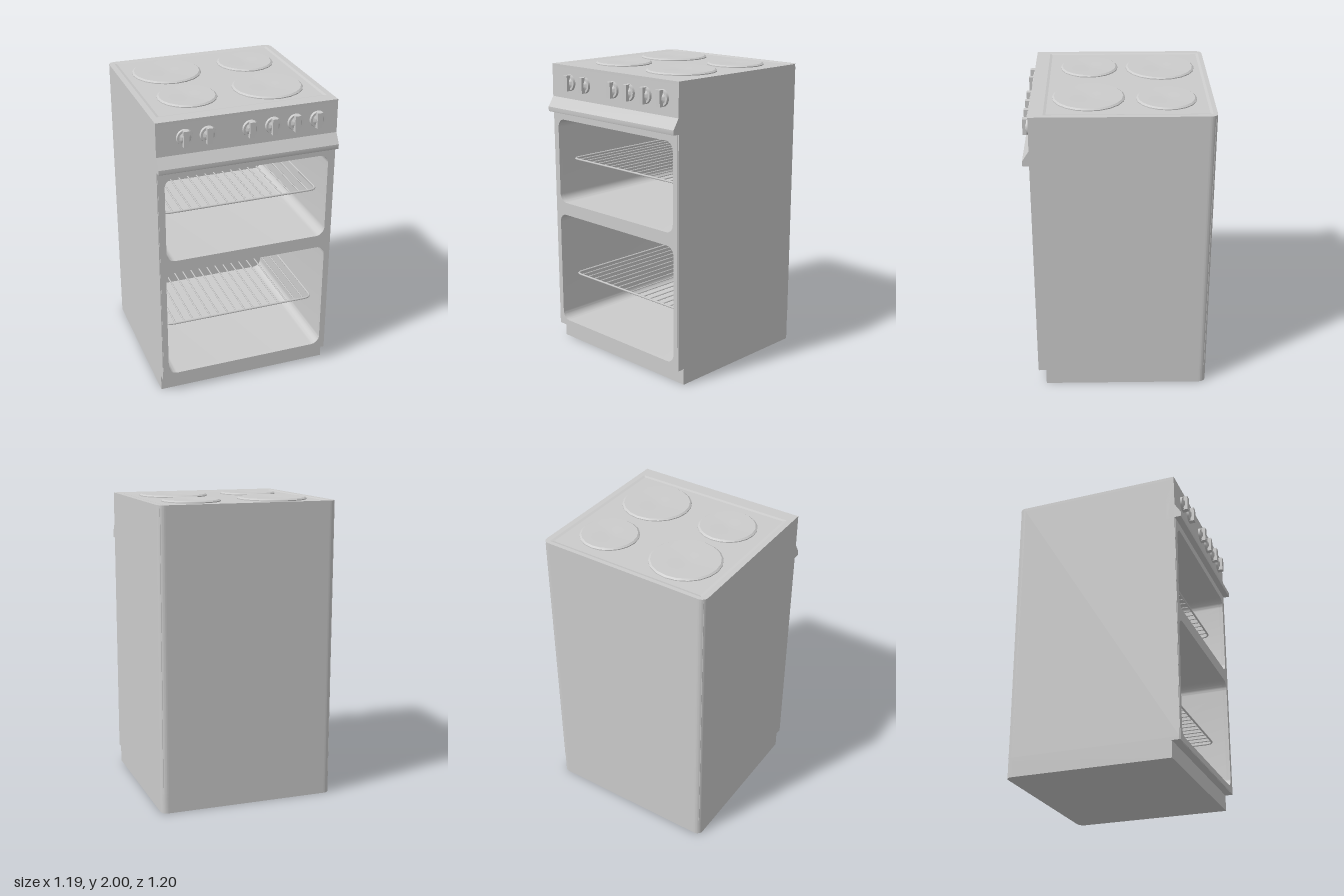
import * as THREE from 'three';
import { toCreasedNormals } from 'three/addons/utils/BufferGeometryUtils.js';

const material = new THREE.MeshStandardMaterial({ color: 0xcccccc, side: THREE.DoubleSide });
const W = 0.597; // half width, also distance to the back

function add(parent, name, geometry, x = 0, y = 0, z = 0) {
  const mesh = new THREE.Mesh(geometry, material);
  mesh.name = name;
  mesh.position.set(x, y, z);
  parent.add(mesh);
  return mesh;
}

const points = list => list.map(p => new THREE.Vector2(...p));

function roundedRect(target, x0, y0, x1, y1, r) {
  target.moveTo(x0 + r, y0);
  target.lineTo(x1 - r, y0);
  target.absarc(x1 - r, y0 + r, r, -Math.PI / 2, 0);
  target.lineTo(x1, y1 - r);
  target.absarc(x1 - r, y1 - r, r, 0, Math.PI / 2);
  target.lineTo(x0 + r, y1);
  target.absarc(x0 + r, y1 - r, r, Math.PI / 2, Math.PI);
  target.lineTo(x0, y0 + r);
  target.absarc(x0 + r, y0 + r, r, Math.PI, Math.PI * 1.5);
  return target;
}

function extrude(shape, depth) {
  const geometry = new THREE.ExtrudeGeometry(shape, { depth, curveSegments: 6, bevelEnabled: false });
  return toCreasedNormals(geometry, 0.4);
}

// Floor plan with rounded back corners; shape y is minus world z.
// Short straights beside each bend keep the flat sides evenly shaded.
function plan(front) {
  const r = 0.045, e = 0.004;
  const s = new THREE.Shape();
  s.moveTo(-W, -front);
  s.lineTo(W, -front);
  s.lineTo(W, W - r - e);
  s.lineTo(W, W - r);
  s.absarc(W - r, W - r, r, 0, Math.PI / 2);
  s.lineTo(W - r - e, W);
  s.lineTo(r + e - W, W);
  s.lineTo(r - W, W);
  s.absarc(r - W, W - r, r, Math.PI / 2, Math.PI);
  s.lineTo(-W, W - r - e);
  return s;
}

const upright = (shape, height) => extrude(shape, height).rotateX(-Math.PI / 2);

function makeRack(name, y) {
  const rack = new THREE.Group();
  rack.name = name;
  const x = 0.53, z0 = -0.52, z1 = 0.45, r = 0.05;
  const corners = [[-x, z0], [x, z0], [x, z1], [-x, z1]].map(p => new THREE.Vector3(p[0], 0, p[1]));
  const path = new THREE.CurvePath();
  // Straight rail followed by a bend, once per side
  corners.forEach((a, i) => {
    const b = corners[(i + 1) % 4], c = corners[(i + 2) % 4];
    const along = b.clone().sub(a).normalize().multiplyScalar(r);
    const next = c.clone().sub(b).normalize().multiplyScalar(r);
    const end = b.clone().sub(along);
    path.add(new THREE.LineCurve3(a.clone().add(along), end));
    path.add(new THREE.QuadraticBezierCurve3(end, b, b.clone().add(next)));
  });
  add(rack, 'rackFrame', new THREE.TubeGeometry(path, 160, 0.007, 6, true));
  const bar = new THREE.CylinderGeometry(0.005, 0.005, z1 - z0, 6).rotateX(Math.PI / 2);
  const count = 16;
  for (let i = 1; i <= count; i++) {
    add(rack, 'rackBar', bar, -x + (2 * x * i) / (count + 1), 0, (z0 + z1) / 2);
  }
  rack.position.y = y;
  return rack;
}

function makeKnob(x) {
  const knob = new THREE.Group();
  knob.name = 'controlKnob';
  const base = new THREE.CylinderGeometry(0.052, 0.055, 0.016, 24).rotateX(Math.PI / 2);
  add(knob, 'knobBase', toCreasedNormals(base, 0.6), 0, 0, 0.006);
  const hub = new THREE.CylinderGeometry(0.022, 0.038, 0.01, 24).rotateX(Math.PI / 2);
  add(knob, 'knobHub', toCreasedNormals(hub, 0.4), 0, 0, 0.019);
  add(knob, 'knobGrip', new THREE.BoxGeometry(0.036, 0.104, 0.034), 0, 0, 0.024);
  knob.position.set(x, 1.877, 0.557);
  return knob;
}

export function createModel() {
  const cooker = new THREE.Group();
  cooker.name = 'cooker';

  // Plinth, floor and outer walls, open towards the front
  add(cooker, 'plinth', upright(plan(0.505), 0.11));
  add(cooker, 'bodyFloor', upright(plan(0.555), 0.02), 0, 0.11, 0);
  const walls = plan(0.555);
  for (const [x, y] of [[-W, -0.555], [-0.585, -0.555], [-0.585, 0.585], [0.585, 0.585], [0.585, -0.555], [W, -0.555]]) {
    walls.lineTo(x, y);
  }
  walls.curves.shift(); // drop the closing front edge
  add(cooker, 'outerWalls', upright(walls, 1.84), 0, 0.13, 0);

  // Hob with a very shallow recessed tray
  const hob = plan(0.555);
  hob.holes.push(new THREE.Path(points([[-0.56, -0.465], [-0.56, 0.57], [0.56, 0.57], [0.56, -0.465]])));
  add(cooker, 'hobRim', upright(hob, 0.02), 0, 1.97, 0);
  const slope = new THREE.CylinderGeometry(Math.SQRT1_2, 0.684, 0.004, 4, 1, true).toNonIndexed();
  slope.rotateY(Math.PI / 4).scale(1.12, 1, 1.035);
  slope.computeVertexNormals();
  add(cooker, 'hobTraySlope', slope, 0, 1.988, -0.0525);
  add(cooker, 'hobTray', new THREE.BoxGeometry(1.12, 0.012, 1.035), 0, 1.98, -0.0525);

  // Hotplates, slightly dished
  for (const [x, z, r] of [[-0.27, -0.287, 0.231], [0.295, -0.3, 0.192], [-0.28, 0.19, 0.192], [0.265, 0.19, 0.231]]) {
    const profile = [[r, 1.98], [r, 1.992], [r - 0.012, 2], [r * 0.35, 1.999], [r * 0.2, 1.997], [0, 1.997]];
    const plate = new THREE.LatheGeometry(points(profile), 20);
    add(cooker, 'hotplate', toCreasedNormals(plate, 0.5), x, 0, z);
  }

  // Control panel with its projecting ledge, swept across the width
  const section = [[0.5, 1.668], [0.598, 1.668], [0.6, 1.675], [0.6, 1.7], [0.557, 1.768], [0.555, 1.97], [0.5, 1.97]];
  const panel = extrude(new THREE.Shape(points(section)), 2 * W);
  add(cooker, 'controlPanel', panel.rotateY(-Math.PI / 2), W, 0, 0);
  for (const x of [-0.415, -0.265, 0.01, 0.16, 0.31, 0.46]) cooker.add(makeKnob(x));

  // Front frame and the two open ovens
  const front = new THREE.Shape(points([[-0.591, 0.112], [0.591, 0.112], [0.591, 1.668], [-0.591, 1.668]]));
  const ovens = [
    { name: 'upper', x: 0.549, y0: 1.03, y1: 1.617, rack: 1.325 },
    { name: 'lower', x: 0.555, y0: 0.153, y1: 0.943, rack: 0.48 },
  ];
  const back = -0.575, t = 0.01, r = 0.06;
  for (const { name, x, y0, y1, rack } of ovens) {
    front.holes.push(roundedRect(new THREE.Path(), -x, y0, x, y1, r));
    const outer = () => roundedRect(new THREE.Shape(), -x - t, y0 - t, x + t, y1 + t, r + t);
    const lining = outer();
    lining.holes.push(roundedRect(new THREE.Path(), -x, y0, x, y1, r));
    add(cooker, name + 'OvenLining', extrude(lining, 0.53 - back), 0, 0, back);
    add(cooker, name + 'OvenBack', extrude(outer(), 0.005), 0, 0, back - 0.005);
    cooker.add(makeRack(name + 'OvenRack', rack));
  }
  add(cooker, 'frontFrame', extrude(front, 0.028), 0, 0, 0.53);

  return cooker;
}
